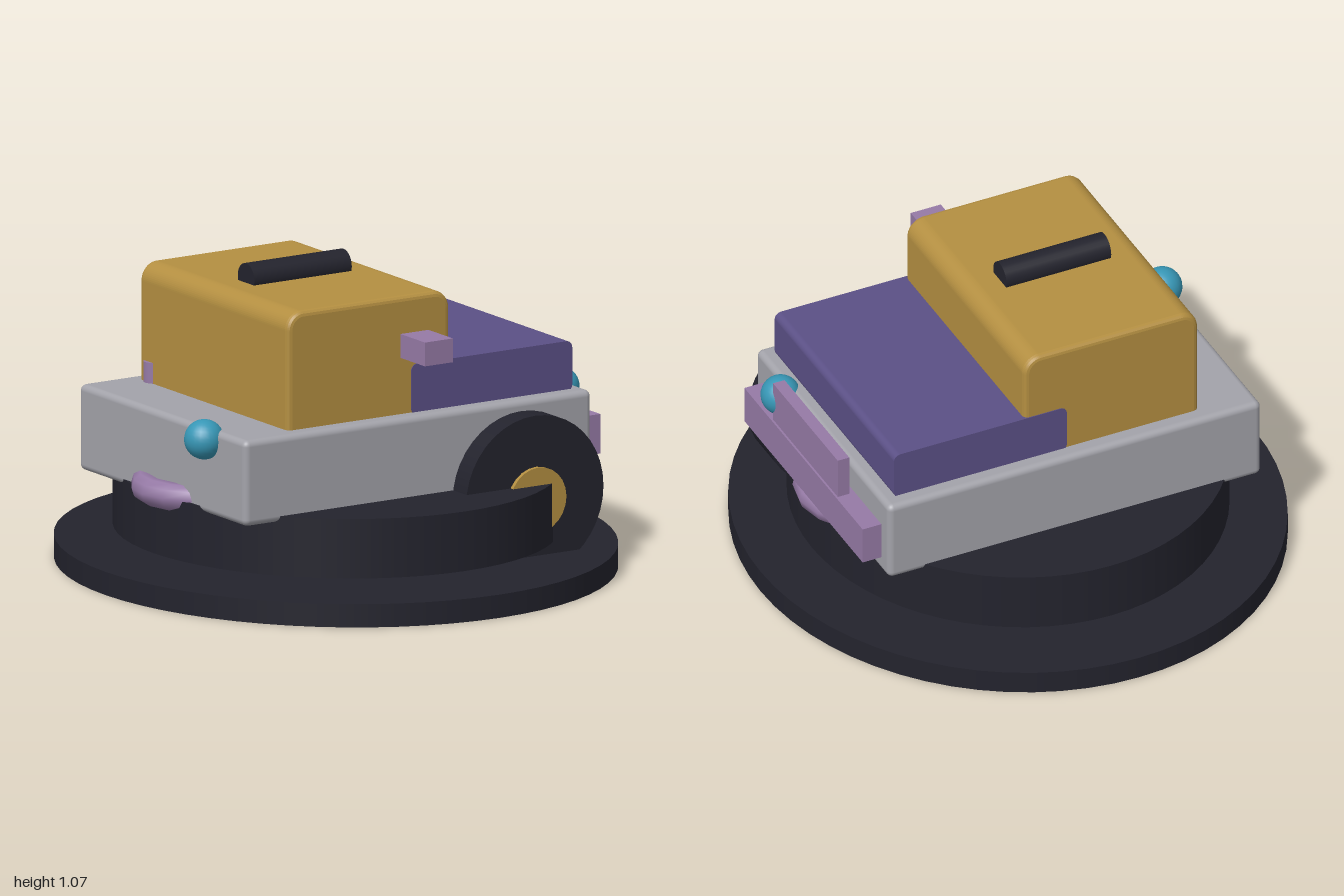
import * as THREE from 'three';
import { RoundedBoxGeometry } from 'three/addons/geometries/RoundedBoxGeometry.js';

export function createModel() {
  const model = new THREE.Group();
  const mat = (name, color) => {
    const m = new THREE.MeshStandardMaterial({ color });
    m.name = name;
    return m;
  };
  const dark = mat('charcoal', 0x23232d);
  const grey = mat('light grey', 0xa3a3aa);
  const gold = mat('ochre', 0xb48f41);
  const indigo = mat('indigo', 0x5b5086);
  const mauve = mat('mauve', 0x967aa6);
  const blue = mat('teal blue', 0x3797b6);

  const add = (name, geometry, material, x = 0, y = 0, z = 0) => {
    const mesh = new THREE.Mesh(geometry, material);
    mesh.name = name;
    mesh.position.set(x, y, z);
    model.add(mesh);
    return mesh;
  };
  // Box given by its minimum and maximum corners
  const box = (name, material, a, b) =>
    add(name, new THREE.BoxGeometry(b[0] - a[0], b[1] - a[1], b[2] - a[2]), material,
      (a[0] + b[0]) / 2, (a[1] + b[1]) / 2, (a[2] + b[2]) / 2);
  // Side profile with rounded corners, extruded across the vehicle
  const slab = (name, material, x0, x1, y0, y1, halfZ, r, bevel) => {
    const a = x0 + bevel, b = x1 - bevel, c = y0 + bevel, d = y1 - bevel;
    const s = new THREE.Shape();
    s.moveTo(a + r, c).lineTo(b - r, c).absarc(b - r, c + r, r, -Math.PI / 2, 0);
    s.lineTo(b, d - r).absarc(b - r, d - r, r, 0, Math.PI / 2);
    s.lineTo(a + r, d).absarc(a + r, d - r, r, Math.PI / 2, Math.PI);
    s.lineTo(a, c + r).absarc(a + r, c + r, r, Math.PI, Math.PI * 1.5);
    const depth = 2 * (halfZ - bevel);
    const g = new THREE.ExtrudeGeometry(s, {
      depth, curveSegments: 8, bevelEnabled: bevel > 0,
      bevelThickness: bevel, bevelSize: bevel, bevelSegments: 3,
    });
    g.translate(0, 0, -depth / 2);
    return add(name, g, material);
  };

  // Oval stand: a wide plate with a drum floating just above it
  const plate = new THREE.CylinderGeometry(1, 1, 0.08, 64).scale(0.922, 1, 1);
  add('basePlate', plate, dark, 0, 0.04, 0);
  const drum = new THREE.CylinderGeometry(0.79, 0.79, 0.205, 64).scale(0.925, 1, 1);
  add('baseDrum', drum, dark, 0, 0.2225, 0);

  // Bodywork
  add('body', new RoundedBoxGeometry(1.39, 0.295, 1.02, 3, 0.022), grey, -0.003, 0.4515, 0);
  slab('cabin', gold, -0.49, 0.16, 0.5, 1.003, 0.454, 0.045, 0.018);
  slab('hood', indigo, 0.003, 0.647, 0.59, 0.765, 0.457, 0.024, 0);

  // Roof bar
  const bar = new THREE.CylinderGeometry(0.051, 0.051, 0.39, 24).rotateZ(Math.PI / 2);
  add('roofBar', bar, dark, -0.165, 1.019, 0);

  // Single wheel with its hub
  const wheel = new THREE.CylinderGeometry(0.275, 0.275, 0.15, 40).rotateX(Math.PI / 2);
  add('wheel', wheel, dark, 0.408, 0.288, 0.518);
  const hub = new THREE.CylinderGeometry(0.113, 0.113, 0.15, 24).rotateX(Math.PI / 2);
  add('wheelHub', hub, gold, 0.412, 0.274, 0.533);

  // Side mirror, bumper and grille
  box('sideMirror', mauve, [-0.056, 0.8, 0.48], [0.056, 0.882, 0.63]);
  box('bumper', mauve, [0.685, 0.36, -0.453], [0.762, 0.496, 0.453]);
  box('grille', mauve, [0.712, 0.36, -0.248], [0.755, 0.645, 0.248]);

  // Oval ring inside the body, showing at both ends
  const ring = new THREE.TorusGeometry(0.729, 0.048, 10, 28).rotateX(Math.PI / 2).scale(1, 1, 0.54);
  add('underbodyRing', ring, mauve, 0, 0.329, 0);

  // Small pipe at the rear corner of the cabin
  add('exhaustPipe', new THREE.CylinderGeometry(0.04, 0.04, 0.17, 16), mauve, -0.463, 0.585, -0.4);

  // Round lamps at both ends
  for (const side of [-1, 1]) {
    add('lamp', new THREE.SphereGeometry(0.068, 24, 16), blue, side * 0.711, 0.565, 0.28);
  }
  return model;
}
